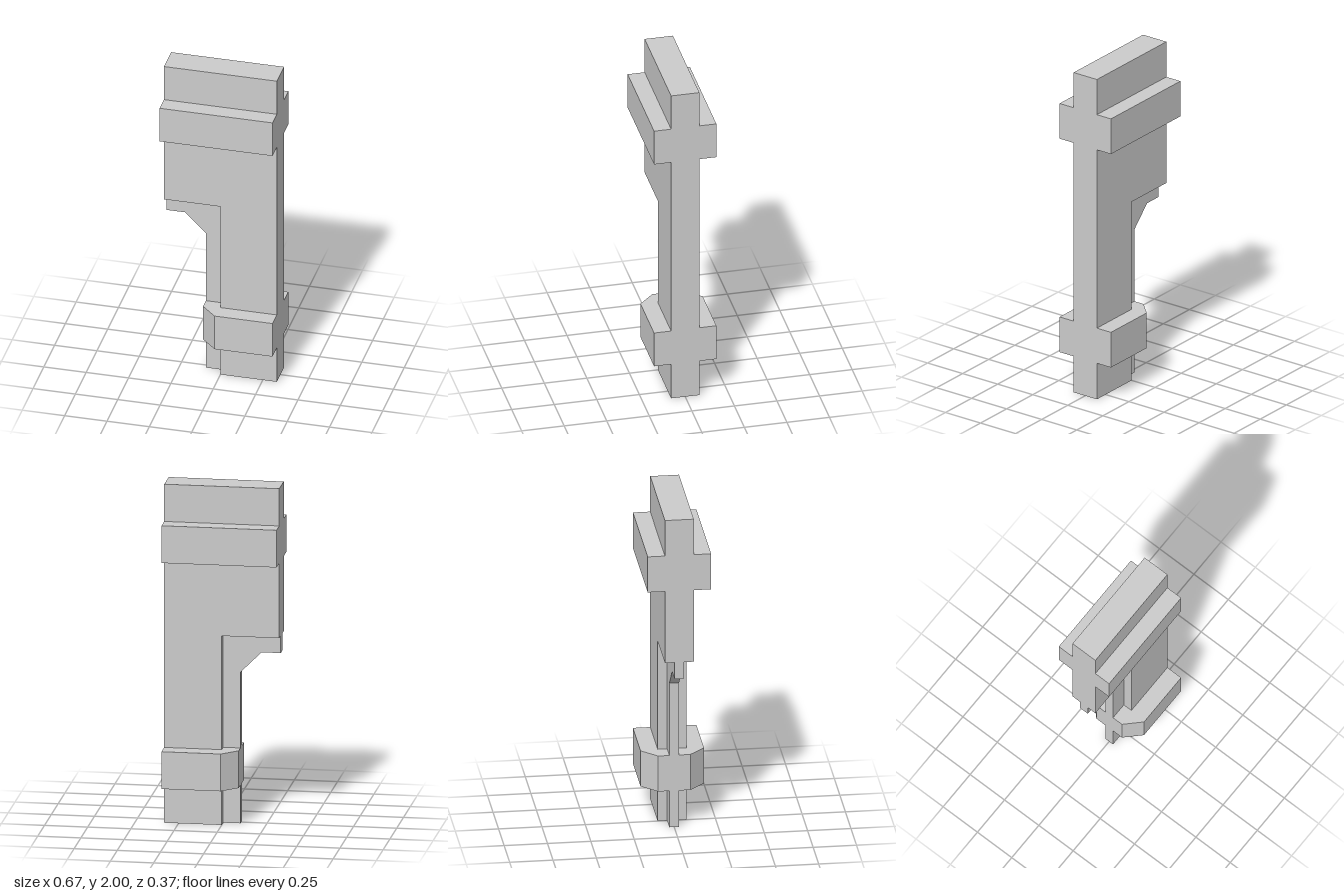
import * as THREE from 'three';

const material = new THREE.MeshStandardMaterial({ color: 0xcccccc, flatShading: true });

// Extrude an outline by depth, centred on z = 0
function plate(name, points, depth) {
  const shape = new THREE.Shape(points.map(([x, y]) => new THREE.Vector2(x, y)));
  const geometry = new THREE.ExtrudeGeometry(shape, { depth, bevelEnabled: false });
  geometry.translate(0, 0, -depth / 2);
  const mesh = new THREE.Mesh(geometry, material);
  mesh.name = name;
  return mesh;
}

export function createModel() {
  const group = new THREE.Group();
  group.name = 'notchedPost';
  const W = 0.333, T = 0.083, B = 0.183;

  // Thick slab: wide at the top, half width below
  group.add(plate('mainSlab', [
    [0, 0], [W, 0], [W, 2], [-W, 2], [-W, 1.117], [0, 1.117],
  ], 2 * T));

  // Thin inner panel that lines the notch, with a sloped corner
  group.add(plate('innerPanel', [
    [-0.1, 0], [0.02, 0], [0.02, 1.137], [-W, 1.137],
    [-W, 1.015], [-0.222, 1.015], [-0.1, 0.893],
  ], 0.056));

  // Upper band across the full width
  const upperBand = new THREE.Mesh(new THREE.BoxGeometry(2 * W, 0.22, 2 * B), material);
  upperBand.name = 'upperBand';
  upperBand.position.y = 1.67;
  group.add(upperBand);

  // Lower band: plan outline with chamfered corners, extruded upward
  const lowerBand = plate('lowerBand', [
    [W, -B], [W, B], [-0.01, B], [-0.1, 0.093], [-0.1, -0.093], [-0.01, -B],
  ], 0.22);
  lowerBand.rotation.x = -Math.PI / 2;
  lowerBand.position.y = 0.335;
  group.add(lowerBand);

  return group;
}
